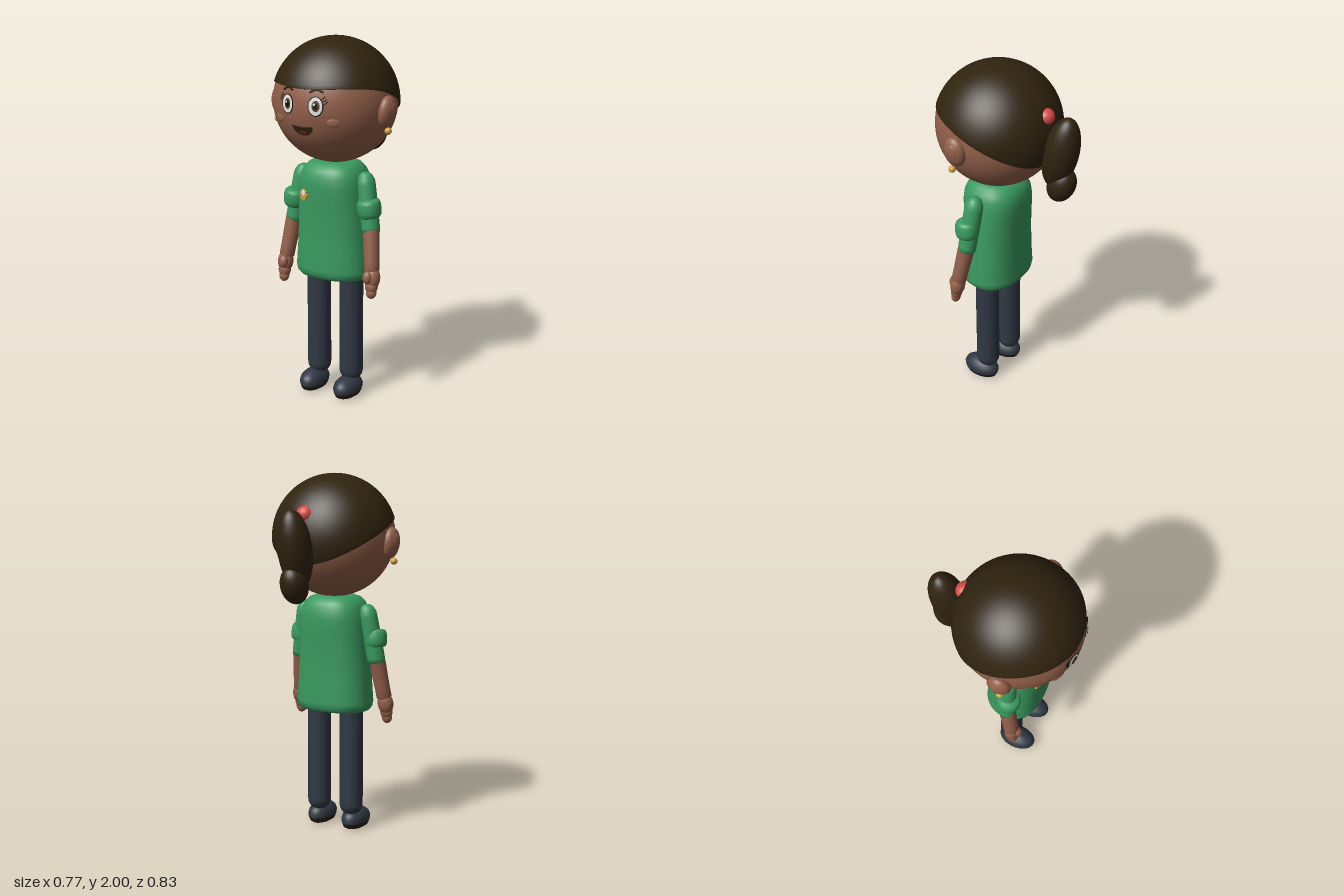
import * as THREE from 'three';

const paint = (name, color) => {
  const m = new THREE.MeshStandardMaterial({ color });
  m.name = name;
  return m;
};
const V = (x, y, z) => new THREE.Vector3(x, y, z);
const HEAD = V(0, 1.66, 0.082), HEAD_R = 0.335;

// Closed body from rings [y, halfWidth, halfDepth], n is the roundness exponent
function loft(rings, n = 2, seg = 40) {
  const pos = [], idx = [];
  const pw = v => Math.sign(v) * Math.abs(v) ** (2 / n);
  rings.forEach(([y, hx, hz]) => {
    for (let j = 0; j < seg; j++) {
      const a = j / seg * Math.PI * 2;
      pos.push(hx * pw(Math.cos(a)), y, hz * pw(Math.sin(a)));
    }
  });
  return skin(pos, idx, rings.length, seg);
}

// Joins rows of points, listed from bottom to top, into a smooth surface
function skin(pos, idx, rows, seg) {
  for (let i = 0; i < rows - 1; i++) for (let j = 0; j < seg; j++) {
    const a = i * seg + j, b = i * seg + (j + 1) % seg;
    idx.push(a, a + seg, b + seg, a, b + seg, b);
  }
  const g = new THREE.BufferGeometry();
  g.setAttribute('position', new THREE.Float32BufferAttribute(pos, 3));
  g.setIndex(idx);
  g.computeVertexNormals();
  return g;
}

// Hair cap: a shell with a hairline that drops towards the nape
function hairCap() {
  const pos = [], seg = 72, rows = 26, R = 0.345, cy = 1.655;
  for (let i = 0; i < rows; i++) for (let j = 0; j < seg; j++) {
    const a = j / seg * Math.PI * 2, c = Math.sin(a);
    const edge = Math.acos((1.72 + 0.12 * c - 0.08 * c * c - cy) / R);
    const t = edge * (1 - Math.max(0, i - 2) / (rows - 3)) + 0.0005;
    const r = i === 0 ? 0.32 : i === 1 ? 0.342 : R;
    pos.push(r * Math.sin(t) * Math.cos(a), cy + r * Math.cos(t), HEAD.z + r * Math.sin(t) * c);
  }
  return skin(pos, [], rows, seg);
}

// Height of the face surface above a point, raised by off
const faceZ = (x, y, off) => HEAD.z + Math.sqrt((HEAD_R + off) ** 2 - x * x - (y - HEAD.y) ** 2);

// Thin elliptical plate that follows the face
function facePatch(x, y, rx, ry, off, start = 0, len = Math.PI * 2) {
  const g = new THREE.RingGeometry(0, 1, 36, 6, start, len), p = g.attributes.position;
  for (let i = 0; i < p.count; i++) {
    const px = x + p.getX(i) * rx, py = y + p.getY(i) * ry;
    p.setXYZ(i, px, py, faceZ(px, py, off));
  }
  g.computeVertexNormals();
  return g;
}

// Thin line drawn over the face through [x, y] points
function faceLine(points, r) {
  const curve = new THREE.CatmullRomCurve3(points.map(([x, y]) => V(x, y, faceZ(x, y, 0.003))));
  return new THREE.TubeGeometry(curve, 14, r, 6);
}

export function createModel() {
  const root = new THREE.Group();
  root.name = 'figure';
  const M = {
    skin: paint('skin', 0x93604a), hair: paint('dark brown', 0x30230f),
    green: paint('green cloth', 0x3a9a60), navy: paint('dark slate', 0x2f3843),
    red: paint('red', 0xd94c48), gold: paint('gold', 0xd0a03a),
    white: paint('white', 0xe9e9e6), black: paint('black', 0x0e0b08),
    iris: paint('iris brown', 0x56461f), lip: paint('dark red', 0x6b2a20),
  };
  const add = (name, geo, mat, at, parent = root) => {
    const m = new THREE.Mesh(geo, mat);
    m.name = name;
    if (at) m.position.copy(at);
    parent.add(m);
    return m;
  };
  const blob = (name, mat, at, sx, sy, sz, rx = 0, rz = 0) => {
    const m = add(name, new THREE.SphereGeometry(1, 36, 24), mat, at);
    m.scale.set(sx, sy, sz);
    m.rotation.set(rx, 0, rz);
    return m;
  };
  // Turned piece along p to q; profile is [radius, fraction of length]
  const turned = (name, mat, p, q, profile) => {
    const d = q.clone().sub(p), L = d.length();
    const g = new THREE.LatheGeometry(profile.map(([r, t]) => new THREE.Vector2(r, t * L)), 28);
    const m = add(name, g, mat, p);
    m.quaternion.setFromUnitVectors(V(0, 1, 0), d.normalize());
    return m;
  };

  // Head and hair
  add('head', new THREE.SphereGeometry(HEAD_R, 56, 40), M.skin, HEAD);
  add('hair', hairCap(), M.hair);
  blob('hairBand', M.red, V(0, 1.787, -0.216), 0.048, 0.045, 0.046);
  blob('ponytail', M.hair, V(0, 1.605, -0.313), 0.092, 0.218, 0.094, -0.22);
  blob('ponytailTip', M.hair, V(0, 1.42, -0.322), 0.075, 0.106, 0.075, -0.4);

  // Shirt
  const shirt = [[0.72, 0.02, 0.02], [0.70, 0.13, 0.09], [0.685, 0.17, 0.12], [0.69, 0.197, 0.142],
    [0.71, 0.215, 0.156], [0.74, 0.22, 0.162], [0.85, 0.212, 0.157], [1.0, 0.203, 0.158],
    [1.15, 0.195, 0.167], [1.21, 0.19, 0.17], [1.26, 0.181, 0.165], [1.295, 0.165, 0.149],
    [1.32, 0.142, 0.126], [1.332, 0.11, 0.095], [1.334, 0.01, 0.01]];
  add('shirt', loft(shirt, 2.4, 56), M.green, V(0, 0, 0.09));

  // Chest badge
  const badge = new THREE.Group();
  badge.name = 'badge';
  badge.position.set(-0.1, 1.155, 0.243);
  badge.rotation.y = -0.37;
  root.add(badge);
  const scallop = new THREE.Shape(Array.from({ length: 48 }, (_, i) => {
    const a = i / 48 * Math.PI * 2, r = 0.03 + 0.003 * Math.cos(8 * a);
    return new THREE.Vector2(r * Math.cos(a), r * Math.sin(a));
  }));
  add('badgeDisc', new THREE.ExtrudeGeometry(scallop, { depth: 0.008, bevelEnabled: false }), M.gold, null, badge);
  add('badgeCentre', new THREE.CircleGeometry(0.016, 24), M.white, V(0.004, 0.014, 0.009), badge);

  // Mouth
  add('mouth', facePatch(0, 1.562, 0.062, 0.048, 0.003, Math.PI, Math.PI), M.hair);
  add('tongue', facePatch(0, 1.531, 0.028, 0.01, 0.005), M.lip);
  add('upperLip', faceLine([[-0.062, 1.563], [0, 1.557], [0.062, 1.563]], 0.005), M.hair);

  for (const s of [-1, 1]) {
    const side = s > 0 ? 'left' : 'right';
    const P = (x, y, z) => V(s * x, y, z);

    // Eye, lashes, brow and cheek
    const ex = s * 0.086, ey = 1.675;
    add(side + 'EyeRim', facePatch(ex, ey, 0.041, 0.052, 0.003), M.black);
    add(side + 'EyeWhite', facePatch(ex, ey, 0.036, 0.047, 0.005), M.white);
    add(side + 'Iris', facePatch(ex + 0.003, ey + 0.002, 0.021, 0.029, 0.007), M.iris);
    add(side + 'Pupil', facePatch(ex + 0.003, ey + 0.002, 0.012, 0.018, 0.0085), M.black);
    add(side + 'EyeGlint', facePatch(ex - 0.004, ey + 0.012, 0.006, 0.007, 0.01), M.white);
    for (const [x, y] of [[0.112, 1.712], [0.12, 1.7], [0.125, 1.686]])
      add(side + 'Lash', faceLine([[s * x, y], [s * (x + 0.012), y + 0.006], [s * (x + 0.02), y + 0.016]], 0.0025), M.black);
    add(side + 'Brow', faceLine([[s * 0.05, 1.745], [s * 0.085, 1.76], [s * 0.122, 1.746]], 0.006), M.hair);
    const cheek = blob(side + 'Cheek', M.skin, V(s * 0.165, 1.592, faceZ(0.165, 1.592, -0.002)), 0.036, 0.024, 0.008);
    cheek.rotation.y = s * 0.52;

    // Ear and earring
    blob(side + 'Ear', M.skin, P(0.335, 1.628, 0.115), 0.044, 0.086, 0.064, 0, -s * 0.12);
    blob(side + 'InnerEar', M.skin, P(0.36, 1.632, 0.112), 0.022, 0.055, 0.038, 0, -s * 0.12);
    blob(side + 'Earring', M.gold, P(0.35, 1.53, 0.125), 0.019, 0.019, 0.019);

    // Sleeve with rolled cuff
    const shoulder = P(0.2, 1.245, 0.1), elbow = P(0.25, 0.965, 0.122), wrist = P(0.277, 0.77, 0.16);
    turned(side + 'Sleeve', M.green, elbow, shoulder,
      [[0.03, 0], [0.048, 0.005], [0.05, 0.1], [0.052, 0.6], [0.052, 0.9], [0.05, 1], [0.037, 1.1], [0.018, 1.15], [0, 1.16]]);
    turned(side + 'Cuff', M.green, P(0.243, 1.05, 0.12), P(0.25, 1.15, 0.128).setX(s * 0.232),
      [[0.03, 0], [0.052, 0.02], [0.061, 0.12], [0.065, 0.3], [0.066, 0.5], [0.065, 0.75], [0.06, 0.9], [0.05, 0.98], [0.03, 1]]);

    // Forearm and hand
    turned(side + 'Forearm', M.skin, wrist, P(0.247, 1.0, 0.12),
      [[0, -0.06], [0.03, -0.05], [0.042, 0], [0.042, 0.2], [0.046, 0.8], [0.046, 1]]);
    blob(side + 'Palm', M.skin, P(0.283, 0.732, 0.165), 0.045, 0.064, 0.04, -0.12, s * 0.08);
    blob(side + 'Fingers', M.skin, P(0.284, 0.683, 0.174), 0.036, 0.04, 0.031, -0.12);
    blob(side + 'Fingertips', M.skin, P(0.285, 0.65, 0.178), 0.03, 0.034, 0.025, -0.12);
    blob(side + 'Thumb', M.skin, P(0.273, 0.738, 0.2), 0.026, 0.036, 0.024, -0.15);

    // Trouser leg and shoe
    add(side + 'Leg', new THREE.CapsuleGeometry(0.066, 0.62, 10, 32), M.navy, P(0.106, 0.455, 0.092));
    const shoeAt = P(0.112, 0, 0.135);
    add(side + 'Sole', loft([[0, 0.002, 0.003], [0.001, 0.042, 0.075], [0.012, 0.058, 0.096], [0.036, 0.067, 0.108]]), M.hair, shoeAt);
    add(side + 'Shoe', loft([[0.036, 0.067, 0.108], [0.058, 0.07, 0.111], [0.082, 0.063, 0.1],
      [0.1, 0.046, 0.076], [0.111, 0.024, 0.04], [0.114, 0.002, 0.003]]), M.navy, shoeAt);
  }
  return root;
}
